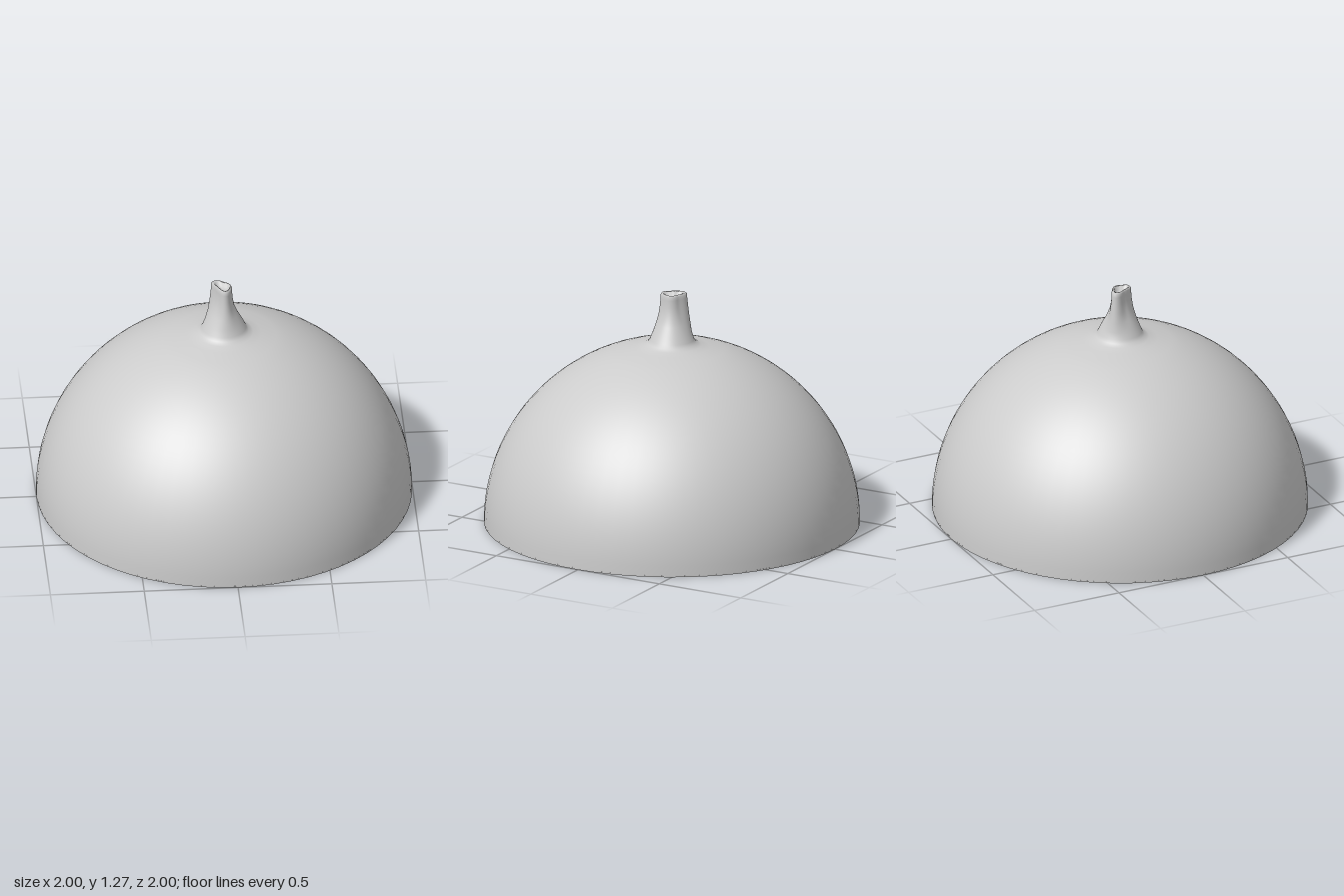
import * as THREE from 'three';
import { mergeVertices } from 'three/addons/utils/BufferGeometryUtils.js';

const material = new THREE.MeshStandardMaterial({ color: 0xcccccc, side: THREE.DoubleSide });
const lobe = (a, deg) => Math.max(0, Math.cos(a - deg * Math.PI / 180)) ** 6;

function addMesh(group, name, geometry) {
  const mesh = new THREE.Mesh(geometry, material);
  mesh.name = name;
  group.add(mesh);
}

// Dome and stem in one smooth skin; the stem tip is pinched to a rounded triangle
function skinGeometry() {
  const dome = [];
  for (let i = 0; i <= 22; i++) {
    const a = i / 22 * 1.29;
    dome.push(new THREE.Vector2(Math.cos(a), Math.sin(a) * 0.995));
  }
  const stem = [[0.2, 0.972], [0.155, 0.984], [0.13, 0.997], [0.118, 1.015], [0.104, 1.05],
    [0.084, 1.1], [0.068, 1.15], [0.06, 1.2], [0.057, 1.24], [0.057, 1.258], [0.05, 1.268],
    [0.04, 1.264], [0.034, 1.245], [0.018, 1.238], [0, 1.24]]
    .map(p => new THREE.Vector2(...p));
  let g = new THREE.LatheGeometry([...dome, ...stem], 64);
  const p = g.attributes.position;
  for (let i = 0; i < p.count; i++) {
    const x = p.getX(i), y = p.getY(i), z = p.getZ(i);
    const w = THREE.MathUtils.smoothstep(y, 1.02, 1.2);
    if (w === 0) continue;
    const a = Math.atan2(z, x);
    const tip = (0.043 + 0.04 * lobe(a, 225) + 0.022 * lobe(a, 85)) / 0.057;
    const s = 1 + (tip - 1) * w;
    p.setXYZ(i, x * s, y - 0.06 * x * w, z * s);
  }
  g.deleteAttribute('uv');
  g.deleteAttribute('normal');
  g = mergeVertices(g, 1e-5);
  g.computeVertexNormals();
  return g;
}

// Closed, slightly wavy outline of one layer: centre shifted towards +x, -z
function outline(radius, shift, wave) {
  const pts = [];
  for (let i = 0; i < 64; i++) {
    const a = i / 64 * Math.PI * 2;
    const r = radius * (1 + wave * Math.sin(3 * a + 0.6));
    pts.push(new THREE.Vector2(shift + r * Math.cos(a), -shift + r * Math.sin(a)));
  }
  return pts;
}

export function createModel() {
  const model = new THREE.Group();
  model.name = 'halfOnion';
  addMesh(model, 'skinAndStem', skinGeometry());

  // Cut face: nested layers parted by fine grooves
  const depth = 0.008, gap = 0.01;
  const layers = [[1, 0, 0], [0.9, 0.053, 0.003], [0.8, 0.062, 0.006], [0.67, 0.09, 0.01],
    [0.53, 0.115, 0.015], [0.39, 0.145, 0.03]];
  layers.forEach(([radius, shift, wave], i) => {
    const shape = new THREE.Shape(outline(i ? radius - gap : radius, shift, wave));
    const next = layers[i + 1];
    if (next) shape.holes.push(new THREE.Path(outline(...next)));
    const g = new THREE.ExtrudeGeometry(shape, { depth, bevelEnabled: false });
    g.rotateX(Math.PI / 2).translate(0, depth, 0);
    addMesh(model, next ? 'cutLayer' + (i + 1) : 'cutCore', g);
  });

  // Floor of the grooves
  addMesh(model, 'grooveFloor',
    new THREE.CircleGeometry(0.99, 64).rotateX(Math.PI / 2).translate(0, depth, 0));
  return model;
}
